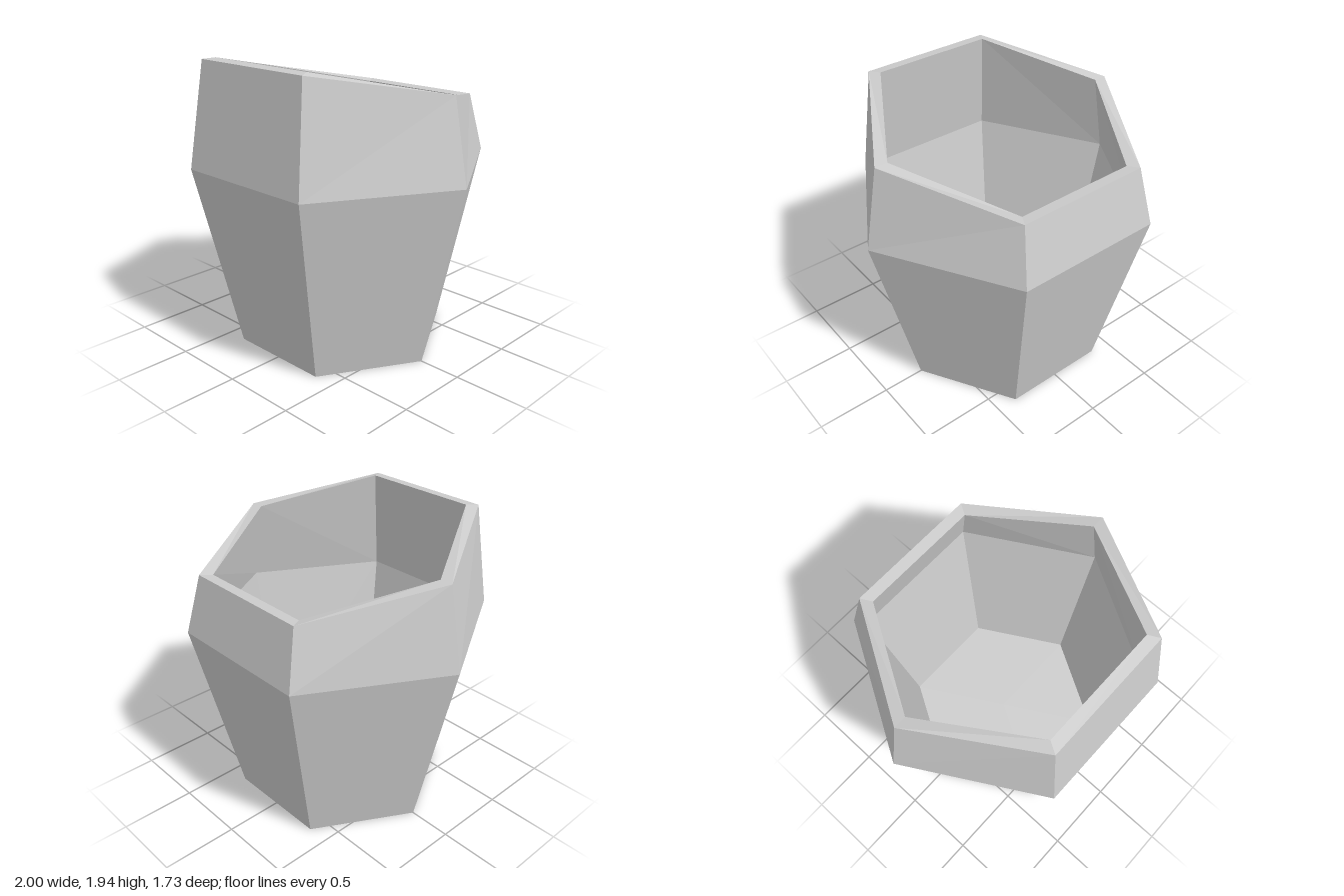
import * as THREE from 'three';

const SIDES = 6;
const material = new THREE.MeshStandardMaterial({ color: 0xcccccc, flatShading: true });

// Hexagonal ring of points; tilt raises the front (+z) and lowers the back.
function ring({ r, y, tilt = 0 }) {
  return Array.from({ length: SIDES }, (_, i) => {
    const a = (i / SIDES) * Math.PI * 2;
    return [r * Math.cos(a), y + tilt * Math.sin(a), r * Math.sin(a)];
  });
}

// Flat-shaded band of facets joining two rings; flip selects the other diagonal.
function band(name, from, to, flip = false) {
  const A = ring(from), B = ring(to), points = [];
  for (let i = 0; i < SIDES; i++) {
    const j = (i + 1) % SIDES;
    if (flip) points.push(A[i], B[i], B[j], A[i], B[j], A[j]);
    else points.push(A[i], B[i], A[j], B[i], B[j], A[j]);
  }
  const geometry = new THREE.BufferGeometry();
  geometry.setAttribute('position', new THREE.Float32BufferAttribute(points.flat(), 3));
  geometry.computeVertexNormals();
  const mesh = new THREE.Mesh(geometry, material);
  mesh.name = name;
  return mesh;
}

// Horizontal hexagon facing up (1) or down (-1).
function cap(name, { r, y }, facing) {
  const mesh = new THREE.Mesh(new THREE.CircleGeometry(r, SIDES), material);
  mesh.rotation.x = -facing * Math.PI / 2;
  mesh.position.y = y;
  mesh.name = name;
  return mesh;
}

export function createModel() {
  // Outer shell
  const base = { r: 0.713, y: 0 };
  const shoulder = { r: 1, y: 1.24 };
  const outerRim = { r: 0.895, y: 1.78, tilt: 0.175 };
  // Hollow inside, following the outer shell at the wall's thickness
  const innerRim = { r: 0.81, y: 1.78, tilt: 0.183 };
  const innerShoulder = { r: 0.91, y: 1.245 };
  const floor = { r: 0.677, y: 0.08 };

  const pot = new THREE.Group();
  pot.name = 'pot';
  pot.add(
    cap('underside', base, -1),
    band('lowerWall', base, shoulder),
    band('upperWall', shoulder, outerRim),
    band('rim', outerRim, innerRim),
    band('innerUpperWall', innerRim, innerShoulder, true),
    band('innerLowerWall', innerShoulder, floor),
    cap('innerFloor', floor, 1)
  );
  return pot;
}
